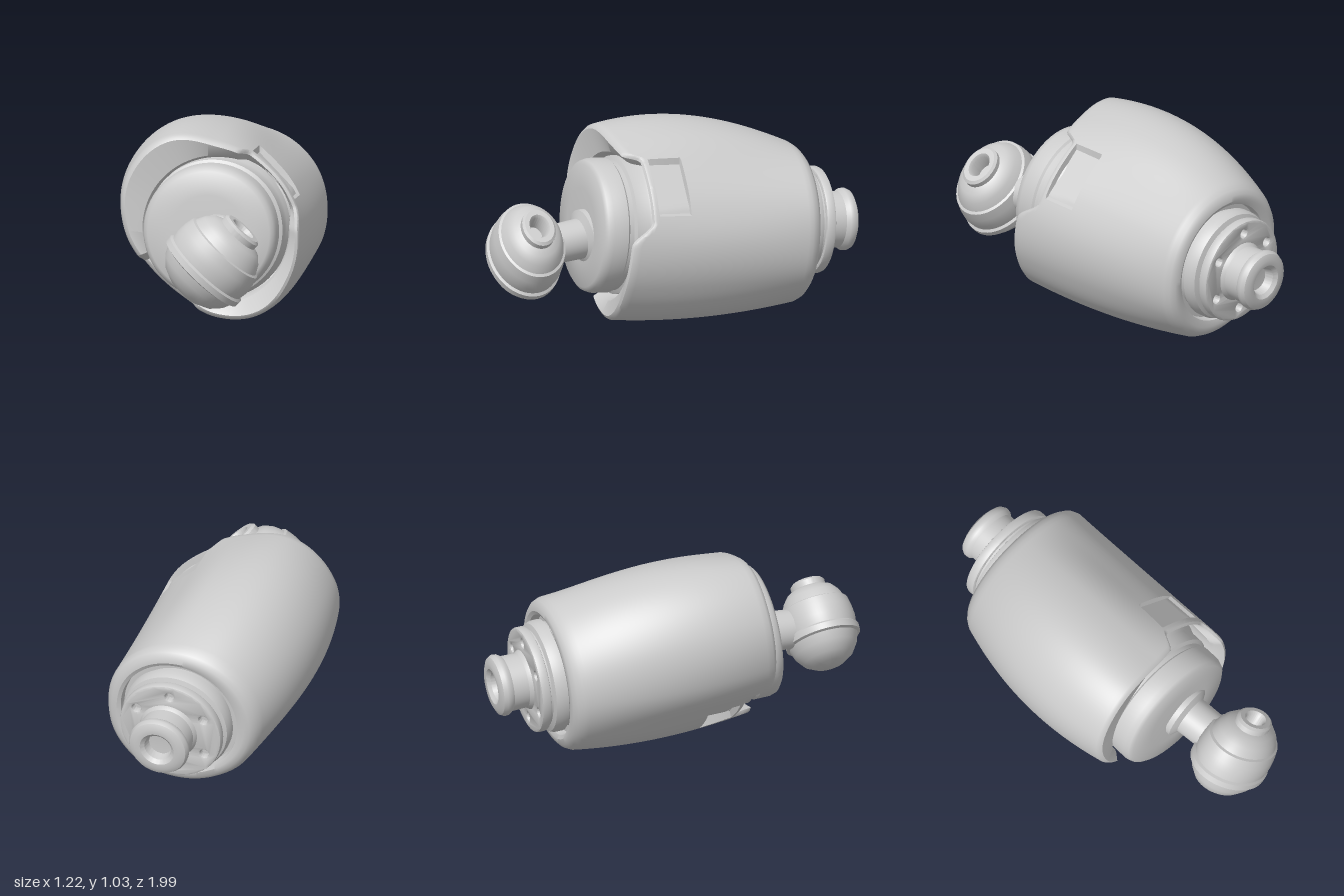
import * as THREE from 'three';
import { toCreasedNormals } from 'three/addons/utils/BufferGeometryUtils.js';

const DEG = Math.PI / 180;
const AXIS = new THREE.Vector3(-0.37, 0.085, 1).normalize();
const material = new THREE.MeshStandardMaterial({ color: 0xcccccc, side: THREE.DoubleSide });

function part(name, geometry, crease = 35) {
  const mesh = new THREE.Mesh(toCreasedNormals(geometry, crease * DEG), material);
  mesh.name = name;
  return mesh;
}

// Turned part: [radius, height] pairs in rising height, turned so height runs along z
function turned(name, profile, segments = 72) {
  const points = profile.map(([r, h]) => new THREE.Vector2(r, h));
  return part(name, new THREE.LatheGeometry(points, segments).rotateX(Math.PI / 2));
}

// Group at a point with its z along the body axis
function axisGroup(name, position) {
  const group = new THREE.Group();
  group.name = name;
  group.position.copy(position);
  group.lookAt(position.clone().add(AXIS));
  return group;
}

// Smooth closed interpolation of 12 values spaced 30 degrees apart
function around(values, deg) {
  const s = (((deg % 360) + 360) % 360) / 30, i = Math.floor(s), f = s - i;
  const [a, b, c, d] = [-1, 0, 1, 2].map(k => values[(i + k + 12) % 12]);
  return b + 0.5 * f * (c - a + f * (2 * a - 5 * b + 4 * c - d + f * (3 * (b - c) + d - a)));
}

// 1 inside an angular window, falling to 0 over soft edges
function inWindow(deg, from, to, softFrom, softTo) {
  return THREE.MathUtils.smoothstep(deg, from - softFrom, from) * (1 - THREE.MathUtils.smoothstep(deg, to, to + softTo));
}

// Shell outline radii counter-clockwise from the right, and how far forward its rim reaches
const FRONT = [0.44, 0.425, 0.425, 0.455, 0.55, 0.55, 0.49, 0.42, 0.40, 0.46, 0.50, 0.47];
const MIDDLE = [0.43, 0.41, 0.425, 0.51, 0.59, 0.59, 0.54, 0.46, 0.45, 0.48, 0.50, 0.46];
const REAR = [0.41, 0.41, 0.41, 0.41, 0.42, 0.43, 0.43, 0.42, 0.41, 0.415, 0.43, 0.425];
const RIM = [0.37, 0.34, 0.32, 0.36, 0.385, 0.395, 0.40, 0.39, 0.36, 0.365, 0.385, 0.385];
const W0 = -0.68, W1 = -0.1, W2 = 0.38;

function shellRadius(deg, w) {
  const l0 = ((w - W1) * (w - W2)) / ((W0 - W1) * (W0 - W2));
  const l1 = ((w - W0) * (w - W2)) / ((W1 - W0) * (W1 - W2));
  const l2 = ((w - W0) * (w - W1)) / ((W2 - W0) * (W2 - W1));
  return around(REAR, deg) * l0 + around(MIDDLE, deg) * l1 + around(FRONT, deg) * l2;
}

// Flat sunken panels behind the two rim notches: middle angle and half width
const PANELS = [[45, 21], [228, 15]];
const PANEL_FRONT = 0.215, PANEL_BACK = 0.03;

function panelRadius(deg, r) {
  for (const [middle, half] of PANELS) {
    const off = Math.abs(deg - middle);
    if (off <= half) return Math.min(r - 0.015, 0.382 / Math.cos(off * DEG));
  }
  return r;
}

function shellGeometry() {
  const N = 180, positions = [], index = [];
  let rings = 0;
  for (let j = 0; j < N; j++) {
    const deg = (j * 360) / N;
    const notch = Math.max(inWindow(deg, 18, 68, 17, 8), inWindow(deg, 206, 250, 6, 8));
    const end = THREE.MathUtils.lerp(around(RIM, deg), 0.25, notch);
    const outer = shellRadius(deg, end);
    const inner = Math.min(0.38, outer - 0.03);
    const section = [[inner, 0.17], [inner, end - 0.05], [inner + 0.012, end - 0.03],
      [outer - 0.02, end], [outer - 0.006, end - 0.008]];
    const addRows = (from, to, count, radius) => {
      for (let k = 0; k <= count; k++) {
        const w = THREE.MathUtils.lerp(from, to, k / count);
        section.push([radius(w), w]);
      }
    };
    const plain = w => shellRadius(deg, w);
    addRows(end - 0.022, PANEL_FRONT, 5, plain);
    addRows(PANEL_FRONT - 0.004, PANEL_BACK + 0.004, 8, w => panelRadius(deg, plain(w)));
    addRows(PANEL_BACK, -0.66, 28, plain);
    const rear = around(REAR, deg);
    section.push([rear - 0.012, -0.69], [rear - 0.035, -0.71], [rear - 0.065, -0.715],
      [0.325, -0.705], [0.32, -0.66], [0.27, -0.66]);
    rings = section.length;
    for (const [r, w] of section) positions.push(r * Math.cos(deg * DEG), r * Math.sin(deg * DEG), w);
  }
  for (let j = 0; j < N; j++) {
    const next = (j + 1) % N;
    for (let i = 0; i < rings - 1; i++) {
      const a = j * rings + i, c = next * rings + i;
      index.push(a, a + 1, c, a + 1, c + 1, c);
    }
  }
  const geometry = new THREE.BufferGeometry();
  geometry.setAttribute('position', new THREE.Float32BufferAttribute(positions, 3));
  geometry.setIndex(index);
  return geometry;
}

// Rear plate with a ring of sockets
function rearPlate() {
  const shape = new THREE.Shape().absarc(0, 0, 0.27, 0, Math.PI * 2);
  for (let i = 0; i < 6; i++) {
    const a = (i + 0.5) * 60 * DEG;
    shape.holes.push(new THREE.Path().absarc(0.215 * Math.cos(a), 0.215 * Math.sin(a), 0.036, 0, Math.PI * 2, true));
  }
  const geometry = new THREE.ExtrudeGeometry(shape, {
    depth: 0.03, curveSegments: 32, bevelEnabled: true, bevelSize: 0.012, bevelThickness: 0.012, bevelSegments: 2,
  });
  return part('rearPlate', geometry.translate(0, 0, -0.828));
}

export function createModel() {
  const model = new THREE.Group();
  model.name = 'jointedLimb';

  // Main body, aimed along its slightly tilted axis
  const body = axisGroup('body', new THREE.Vector3(-0.01, 0.49, 0));
  model.add(body);
  body.add(part('shell', shellGeometry()));

  // Stepped drum inside the front opening
  const drum = turned('frontDrum', [[0.385, 0.19], [0.372, 0.22], [0.365, 0.24], [0.365, 0.31], [0.345, 0.32],
    [0.345, 0.345], [0.355, 0.355], [0.355, 0.435], [0.345, 0.465], [0.325, 0.48], [0.2, 0.488], [0, 0.49]]);
  drum.position.x = -0.02;
  body.add(drum);

  // Rear collar, plate and hollow plug
  body.add(turned('rearCollar', [[0.13, -0.8], [0.262, -0.8], [0.262, -0.775], [0.29, -0.765], [0.3, -0.74],
    [0.3, -0.7], [0.28, -0.69], [0.28, -0.66]]));
  body.add(rearPlate());
  const plug = turned('rearPlug', [[0, -0.95], [0.065, -0.955], [0.075, -1.0], [0.095, -1.018], [0.125, -1.02],
    [0.155, -1.005], [0.165, -0.985], [0.163, -0.965], [0.148, -0.945], [0.146, -0.86], [0.16, -0.84], [0.16, -0.82]]);
  plug.position.x = 0.01;
  body.add(plug);

  // Neck linking drum and ball joint
  const ballCentre = new THREE.Vector3(-0.235, 0.455, 0.795);
  const neck = turned('neck', [[0.15, 0], [0.15, 0.03], [0.107, 0.05], [0.103, 0.25]], 40);
  neck.position.set(-0.145, 0.48, 0.45);
  neck.lookAt(ballCentre);
  model.add(neck);

  // Banded ball joint with a socket hole, flattened a little along the body axis
  const ball = axisGroup('ballJoint', ballCentre);
  ball.scale.z = 0.79;
  const bands = turned('ballBands', [[0, -0.228], [0.1, -0.222], [0.165, -0.19], [0.21, -0.14], [0.23, -0.095],
    [0.25, -0.088], [0.252, -0.055], [0.238, -0.045], [0.245, 0], [0.24, 0.05], [0.228, 0.1], [0.213, 0.106],
    [0.19, 0.15], [0.155, 0.185], [0.115, 0.2], [0.115, 0.23], [0.1, 0.242], [0.07, 0.242], [0.058, 0.225],
    [0.055, 0.14], [0, 0.14]]);
  bands.lookAt(0.67, 0.74, 0.02);
  ball.add(bands);
  model.add(ball);

  return model;
}
